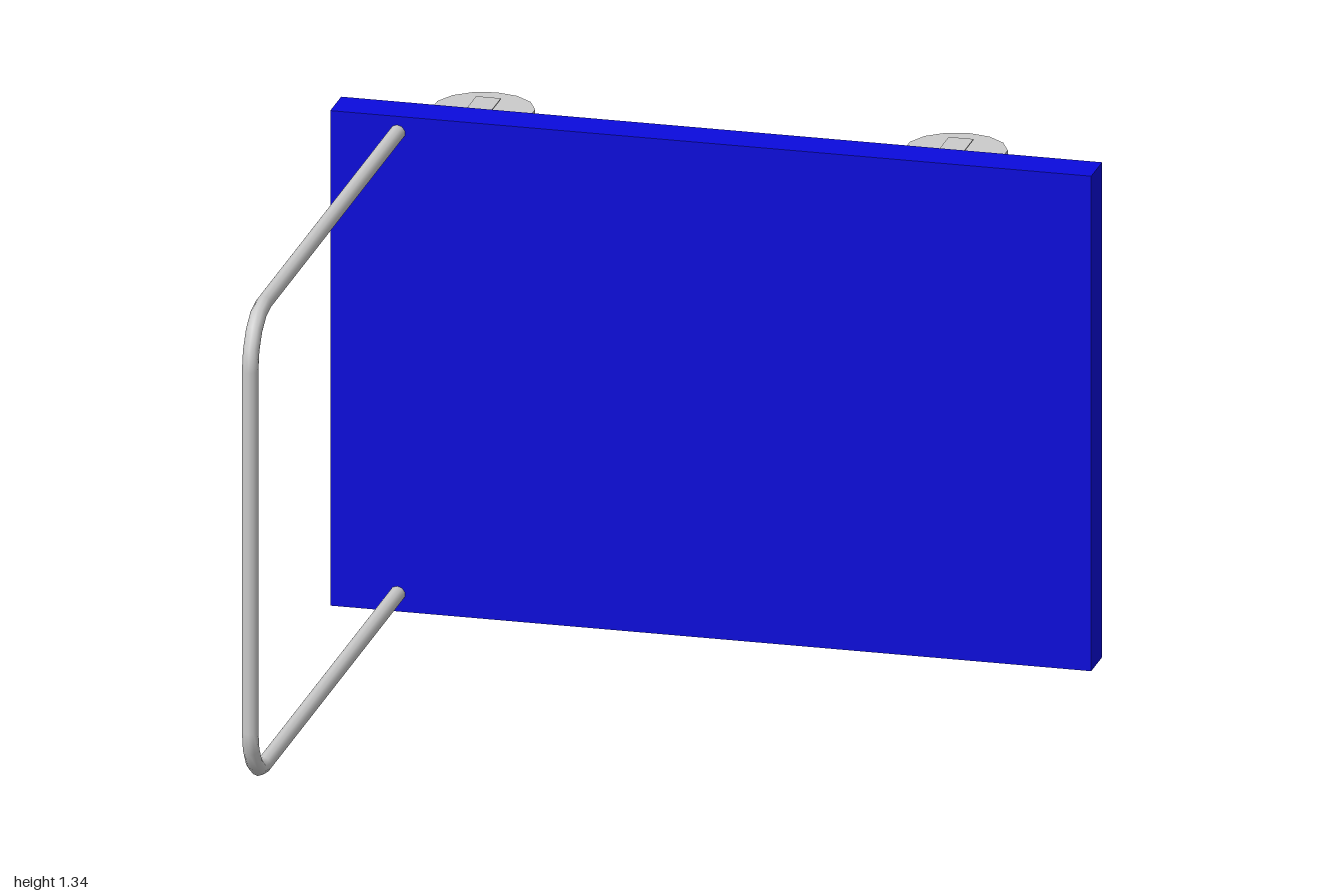
import * as THREE from 'three';

export function createModel() {
  const model = new THREE.Group();
  model.name = 'platformTrolley';
  const blue = new THREE.MeshStandardMaterial({ color: 0x0b0bdd });
  const tubeGrey = new THREE.MeshStandardMaterial({ color: 0xcccccc });
  const flatGrey = new THREE.MeshStandardMaterial({ color: 0xcccccc, flatShading: true });

  const add = (parent, name, geometry, material, x, y, z) => {
    const mesh = new THREE.Mesh(geometry, material);
    mesh.name = name;
    mesh.position.set(x, y, z);
    parent.add(mesh);
    return mesh;
  };

  // Deck, standing on its long edge
  const height = 1.335, front = -0.512, back = -0.622;
  add(model, 'deck', new THREE.BoxGeometry(2, height, front - back), blue, 0, height / 2, (front + back) / 2);

  // Push handle: two arms, a grip and two rounded corners
  const handle = new THREE.Group();
  handle.name = 'handle';
  model.add(handle);
  const r = 0.021, bend = 0.135, x = -0.824;
  const low = 0.047, high = 1.291, end = 0.977;
  const bendZ = end - bend, start = front - 0.01;
  for (const [y, side] of [[low, -1], [high, 1]]) {
    const arm = new THREE.CylinderGeometry(r, r, bendZ - start, 10).rotateX(Math.PI / 2);
    add(handle, 'handleArm', arm, tubeGrey, x, y, (start + bendZ) / 2);
    const corner = new THREE.TorusGeometry(bend, r, 10, 4, Math.PI / 2);
    if (side < 0) corner.rotateZ(-Math.PI / 2);
    corner.rotateY(-Math.PI / 2);
    add(handle, 'handleCorner', corner, tubeGrey, x, y - side * bend, bendZ);
  }
  add(handle, 'handleGrip', new THREE.CylinderGeometry(r, r, high - low - 2 * bend, 10), tubeGrey,
    x, (low + high) / 2, end);

  // Casters: a wheel between two thin fork plates
  const wheel = new THREE.CylinderGeometry(0.132, 0.132, 0.067, 14);
  const plate = new THREE.BoxGeometry(0.065, 0.003, 0.3);
  for (const cx of [-0.69, 0.552]) {
    for (const cy of [0.125, 1.212]) {
      const caster = new THREE.Group();
      caster.name = 'caster';
      caster.position.set(cx, cy, 0);
      model.add(caster);
      add(caster, 'wheel', wheel, flatGrey, 0, 0, -0.868);
      for (const s of [-1, 1]) add(caster, 'forkPlate', plate, flatGrey, 0, s * 0.046, -0.77);
    }
  }
  return model;
}
